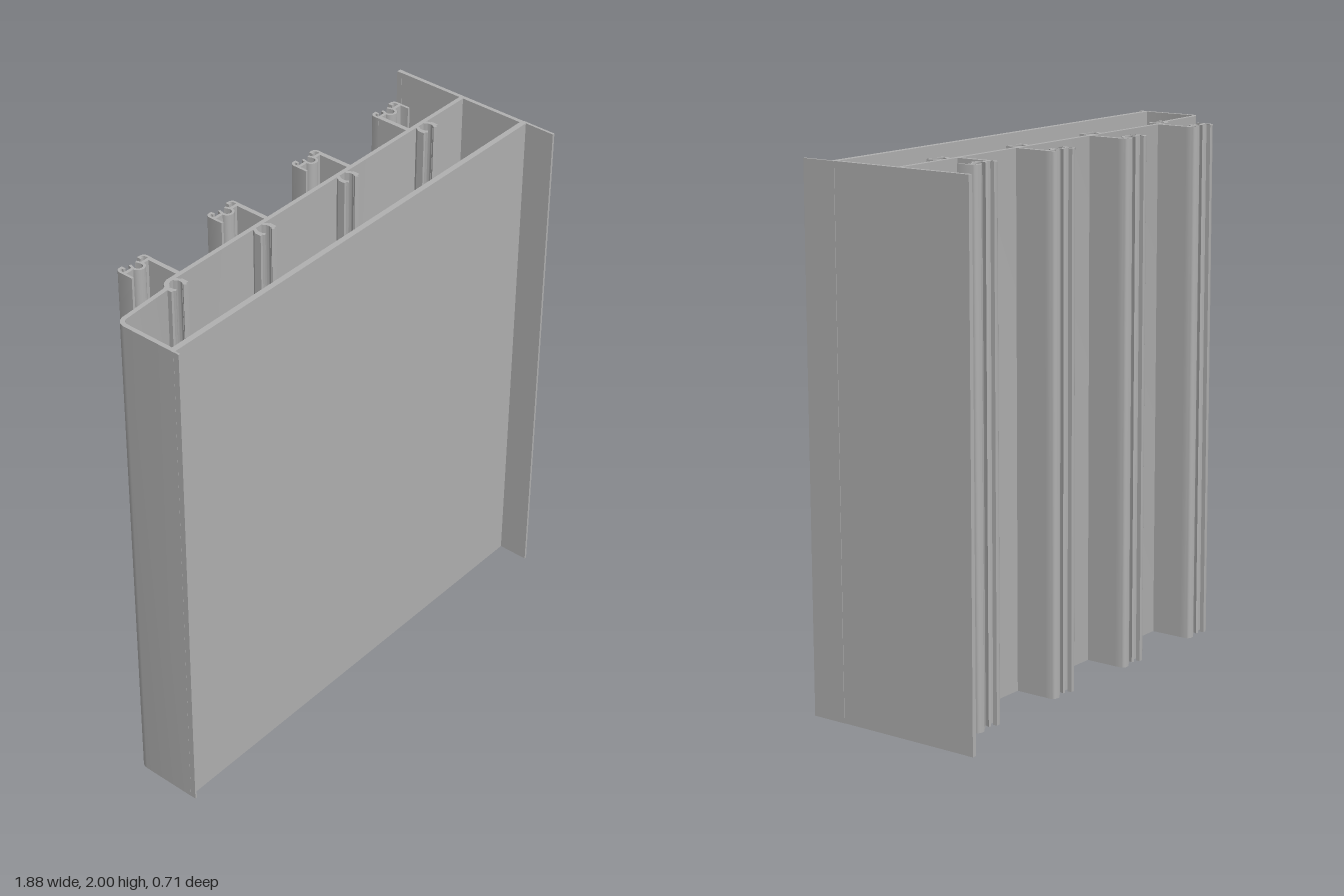
import * as THREE from 'three';
import { toCreasedNormals } from 'three/addons/utils/BufferGeometryUtils.js';

const HEIGHT = 2;
const aluminium = new THREE.MeshStandardMaterial({ color: 0xb0b0b0 });
aluminium.name = 'aluminium grey';

// Thickens an [x, z] centre line into a mitred strip outline
function strip(path, thickness) {
  const p = path.map(([x, z]) => new THREE.Vector2(x, -z));
  const left = [], right = [];
  p.forEach((q, i) => {
    const a = q.clone().sub(p[Math.max(i - 1, 0)]).normalize();
    const b = p[Math.min(i + 1, p.length - 1)].clone().sub(q).normalize();
    if (i === 0) a.copy(b);
    if (i === p.length - 1) b.copy(a);
    const n = new THREE.Vector2(-a.y - b.y, a.x + b.x).normalize();
    const mitre = thickness / 2 / Math.max(0.5, n.dot(new THREE.Vector2(-a.y, a.x)));
    left.push(q.clone().addScaledVector(n, mitre));
    right.unshift(q.clone().addScaledVector(n, -mitre));
  });
  return new THREE.Shape([...left, ...right]);
}

// Extrudes a strip over the full height
function wall(name, path, thickness) {
  const geo = new THREE.ExtrudeGeometry(strip(path, thickness), { depth: HEIGHT, bevelEnabled: false });
  geo.rotateX(-Math.PI / 2);
  const mesh = new THREE.Mesh(toCreasedNormals(geo, 0.6), aluminium);
  mesh.name = name;
  return mesh;
}

// Arc points in the x-z plane; degrees run from +x towards +z
function arc(cx, cz, r, from, to, steps = 8) {
  return Array.from({ length: steps + 1 }, (_, i) => {
    const a = THREE.MathUtils.degToRad(from + (to - from) * i / steps);
    return [cx + r * Math.cos(a), cz + r * Math.sin(a)];
  });
}

// Stem and gasket head behind the web; side +1 puts the stem at +x
function createHook(side) {
  const hook = new THREE.Group();
  hook.name = 'gasketHook';
  const add = (name, path, t) => hook.add(wall(name, path.map(([x, z]) => [x * side, z]), t));
  add('stem', [[0.057, -0.055], [0.057, -0.2]], 0.018);
  add('stemLip', [[0.062, -0.19], ...arc(0.048, -0.212, 0.014, 0, -90, 4), [0.04, -0.226], [0.04, -0.214]], 0.009);
  add('outerLeg', [[-0.064, -0.155], ...arc(-0.05, -0.212, 0.014, 180, 270, 4), [-0.043, -0.226], [-0.043, -0.214]], 0.01);
  add('stemBridge', [[0.064, -0.195], [0.022, -0.195]], 0.012);
  add('outerBridge', [[-0.064, -0.195], [-0.022, -0.195]], 0.012);
  add('headChannel', [[-0.014, -0.216], ...arc(0, -0.191, 0.021, 205, -25, 12), [0.014, -0.216]], 0.01);
  return hook;
}

// Pair of curved claws on the inner side of the web
function createScrewPort() {
  const port = new THREE.Group();
  port.name = 'screwPort';
  for (const s of [-1, 1]) {
    const path = [[0.02, -0.05], ...arc(0, -0.022, 0.031, -45, 38, 6), [0.02, -0.006]];
    port.add(wall('claw', path.map(([x, z]) => [x * s, z]), 0.013));
    port.add(wall('clawFoot', [[0.036 * s, -0.03], [0.036 * s, -0.001]], 0.01));
  }
  return port;
}

export function createModel() {
  const model = new THREE.Group();
  model.name = 'extrudedFrameProfile';

  // Outer chamber walls
  model.add(
    wall('frontWall', [[-0.935, 0.225], [0.93, 0.225]], 0.022),
    wall('endWall', [
      [-0.934, 0.236], ...arc(-0.902, 0.016, 0.032, 180, 266, 7),
      [-0.70, -0.027], [-0.683, -0.034], [-0.67, -0.049], [-0.655, -0.055], [0.925, -0.055],
    ], 0.017),
    wall('endLip', [[-0.938, 0.22], [-0.938, 0.258]], 0.008),
  );

  // Wide side flange with a thin front edge and a rounded rear bead
  model.add(
    wall('sideFlange', [[0.93, 0.236], [0.93, -0.34]], 0.016),
    wall('flangeFrontEdge', [[0.935, 0.22], [0.935, 0.357]], 0.01),
    wall('flangeBead', [[0.93, -0.335], [0.93, -0.352], [0.93, -0.357]], 0.018),
  );

  // Regularly spaced hooks and screw ports, last hook mirrored
  [-0.657, -0.213, 0.23, 0.675].forEach((x, i) => {
    const hook = createHook(i === 3 ? -1 : 1);
    const port = createScrewPort();
    hook.position.x = port.position.x = x;
    model.add(hook, port);
  });
  return model;
}
